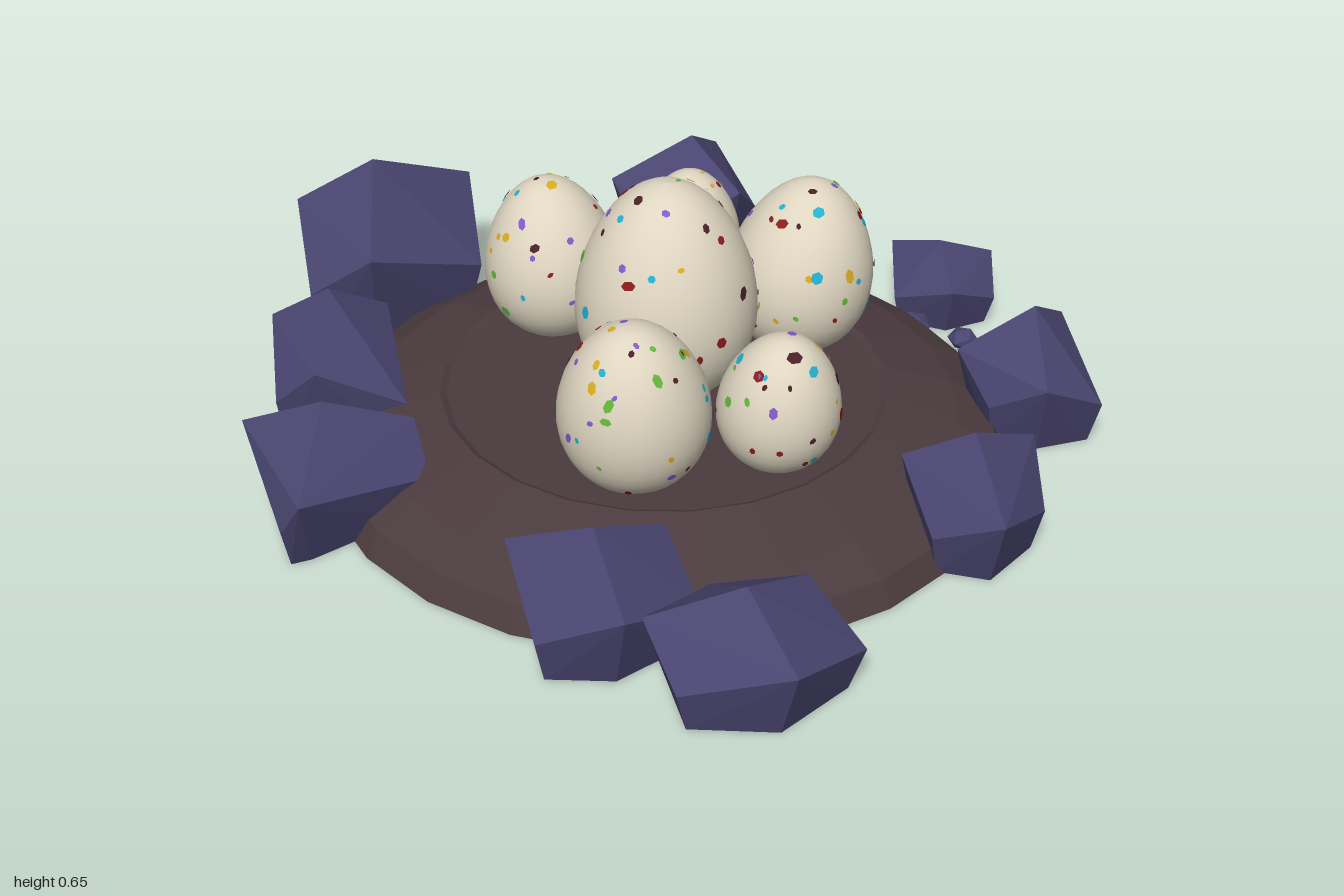
import * as THREE from 'three';
import { mergeGeometries } from 'three/addons/utils/BufferGeometryUtils.js';
import { ConvexGeometry } from 'three/addons/geometries/ConvexGeometry.js';

const material = (name, color) => {
  const m = new THREE.MeshStandardMaterial({ color });
  m.name = name;
  return m;
};

// Small seeded random generator
let seed = 7;
const rand = () => {
  seed = (seed * 16807) % 2147483647;
  return seed / 2147483647;
};

// Rocks: [height, apex x, apex z, outline seen from above as x, z pairs]
const ROCKS = [
  [0.39, -0.02, -0.83, [-0.29, -0.79, -0.12, -1, 0.12, -0.97, 0.25, -0.77, 0.07, -0.57, -0.23, -0.64]],
  [0.33, -0.45, -0.55, [-0.64, -0.54, -0.49, -0.7, -0.27, -0.66, -0.29, -0.53, -0.46, -0.31, -0.61, -0.44]],
  [0.27, -0.72, -0.3, [-0.95, -0.2, -0.79, -0.48, -0.57, -0.46, -0.55, -0.2, -0.61, -0.1, -0.94, -0.15]],
  [0.315, 0.68, -0.4, [0.49, -0.42, 0.52, -0.53, 0.7, -0.54, 0.85, -0.45, 0.77, -0.26, 0.66, -0.23, 0.5, -0.32]],
  [0.19, 0.81, 0.27, [0.68, 0.23, 0.83, 0.12, 0.93, 0.2, 0.94, 0.34, 0.83, 0.42, 0.7, 0.38]],
  [0.28, 0.55, 0.68, [0.36, 0.69, 0.41, 0.57, 0.69, 0.54, 0.7, 0.67, 0.53, 0.88, 0.38, 0.82]],
  [0.26, 0.06, 0.83, [-0.12, 0.85, 0, 0.69, 0.22, 0.7, 0.24, 0.87, 0.11, 0.98, -0.09, 1]],
  [0.25, -0.64, 0.76, [-0.83, 0.74, -0.76, 0.6, -0.52, 0.58, -0.45, 0.77, -0.49, 0.94, -0.72, 0.94]],
  [0.27, -0.7, 0.43, [-0.89, 0.44, -0.75, 0.24, -0.6, 0.31, -0.51, 0.46, -0.6, 0.62, -0.81, 0.6]],
];
// Pebbles: x, z, radius
const PEBBLES = [[0.55, -0.55, 0.032], [0.66, 0.3, 0.042], [0.685, 0.425, 0.037], [-0.42, 0.76, 0.045]];

// Eggs: x, z, radius, bottom, top, outward lean
const EGGS = [
  [-0.055, 0.1, 0.203, 0.13, 0.65, 0],
  [-0.01, -0.27, 0.158, 0.13, 0.515, 0.13],
  [0.35, -0.15, 0.124, 0.12, 0.425, 0.13],
  [0.295, 0.215, 0.168, 0.13, 0.545, 0.19],
  [-0.39, 0.28, 0.163, 0.14, 0.535, 0.2],
  [-0.145, 0.475, 0.133, 0.14, 0.46, 0.16],
];

// Faceted boulder: apex, staggered girdle and a smaller flat foot
function rockGeometry([h, ax, az, o]) {
  const points = [new THREE.Vector3(ax, h, az)];
  for (let i = 0; i < o.length; i += 2) {
    const high = (i / 2) % 2;
    points.push(new THREE.Vector3(o[i], h * (high ? 0.68 : 0.38), o[i + 1]));
    const k = high ? 0.72 : 0.86;
    points.push(new THREE.Vector3(ax + (o[i] - ax) * k, 0, az + (o[i + 1] - az) * k));
  }
  return new ConvexGeometry(points);
}

// Point on the egg profile; t runs from bottom (0) to top (PI)
const eggPoint = (t, r, half) =>
  new THREE.Vector2(r * Math.sin(t) * (1 + 0.15 * Math.cos(t)) / 1.02, -half * Math.cos(t));

function makeEgg([x, z, r, bottom, top, lean], shell, spotMaterials) {
  const egg = new THREE.Group();
  egg.name = 'egg';
  const half = (top - bottom) / 2;
  const profile = [];
  for (let i = 0; i <= 20; i++) {
    const p = eggPoint((i / 20) * Math.PI, r, half);
    p.x = Math.max(p.x, 0);
    profile.push(p);
  }
  const body = new THREE.Mesh(new THREE.LatheGeometry(profile, 32), shell);
  body.name = 'eggShell';
  egg.add(body);

  // Thin speckles lying on the shell, grouped by colour
  const forward = new THREE.Vector3(0, 0, 1);
  spotMaterials.forEach((mat) => {
    const spots = [];
    for (let i = 0; i < 10; i++) {
      const t = Math.acos(1 - 2 * rand());
      const a = rand() * Math.PI * 2;
      const p = eggPoint(t, r, half);
      const q = eggPoint(t + 0.01, r, half).sub(p);
      const normal = new THREE.Vector3(q.y * Math.cos(a), -q.x, q.y * Math.sin(a)).normalize();
      const size = 0.005 + 0.012 * rand() * rand() + r * 0.015;
      const spot = new THREE.CircleGeometry(size, 6);
      spot.scale(1, 0.6 + 0.4 * rand(), 1);
      spot.rotateZ(rand() * 6);
      spot.applyQuaternion(new THREE.Quaternion().setFromUnitVectors(forward, normal));
      spot.translate(p.x * Math.cos(a) + normal.x * 0.003, p.y + normal.y * 0.003, p.x * Math.sin(a) + normal.z * 0.003);
      spots.push(spot);
    }
    const mesh = new THREE.Mesh(mergeGeometries(spots), mat);
    mesh.name = 'eggSpots';
    egg.add(mesh);
  });

  egg.position.set(x, (top + bottom) / 2, z);
  const out = new THREE.Vector3(x + 0.055, 0, z - 0.1).normalize();
  egg.quaternion.setFromAxisAngle(new THREE.Vector3(out.z, 0, -out.x), lean);
  return egg;
}

export function createModel() {
  const model = new THREE.Group();
  model.name = 'eggNest';
  const earth = material('earth', 0x4b3b3f);
  const stone = material('stone', 0x4a4570);
  const shell = material('shell', 0xdfd6c1);
  const spotMaterials = [
    material('redSpot', 0x8c1c1c),
    material('purpleSpot', 0x8458cc),
    material('cyanSpot', 0x22b0d0),
    material('yellowSpot', 0xd8ac20),
    material('greenSpot', 0x62b83a),
    material('brownSpot', 0x4a2028),
  ];

  // Low faceted mound with a shallow dish on top
  const profile = [[0, 0], [0.775, 0], [0.745, 0.055], [0.66, 0.1], [0.5, 0.15], [0.485, 0.142], [0, 0.142]];
  const moundGeometry = new THREE.LatheGeometry(profile.map(([r, y]) => new THREE.Vector2(r, y)), 24).toNonIndexed();
  moundGeometry.computeVertexNormals();
  const mound = new THREE.Mesh(moundGeometry, earth);
  mound.name = 'nestMound';
  mound.position.set(-0.055, 0, 0.095);
  model.add(mound);

  // Ring of boulders
  ROCKS.forEach((r) => {
    const rock = new THREE.Mesh(rockGeometry(r), stone);
    rock.name = 'rock';
    model.add(rock);
  });
  PEBBLES.forEach(([x, z, r], i) => {
    const pebble = new THREE.Mesh(new THREE.IcosahedronGeometry(r, 0), stone);
    pebble.name = 'pebble';
    pebble.scale.y = 0.7;
    pebble.rotation.y = i * 1.3;
    pebble.position.set(x, r * 0.8, z);
    model.add(pebble);
  });

  EGGS.forEach((e) => model.add(makeEgg(e, shell, spotMaterials)));
  return model;
}
